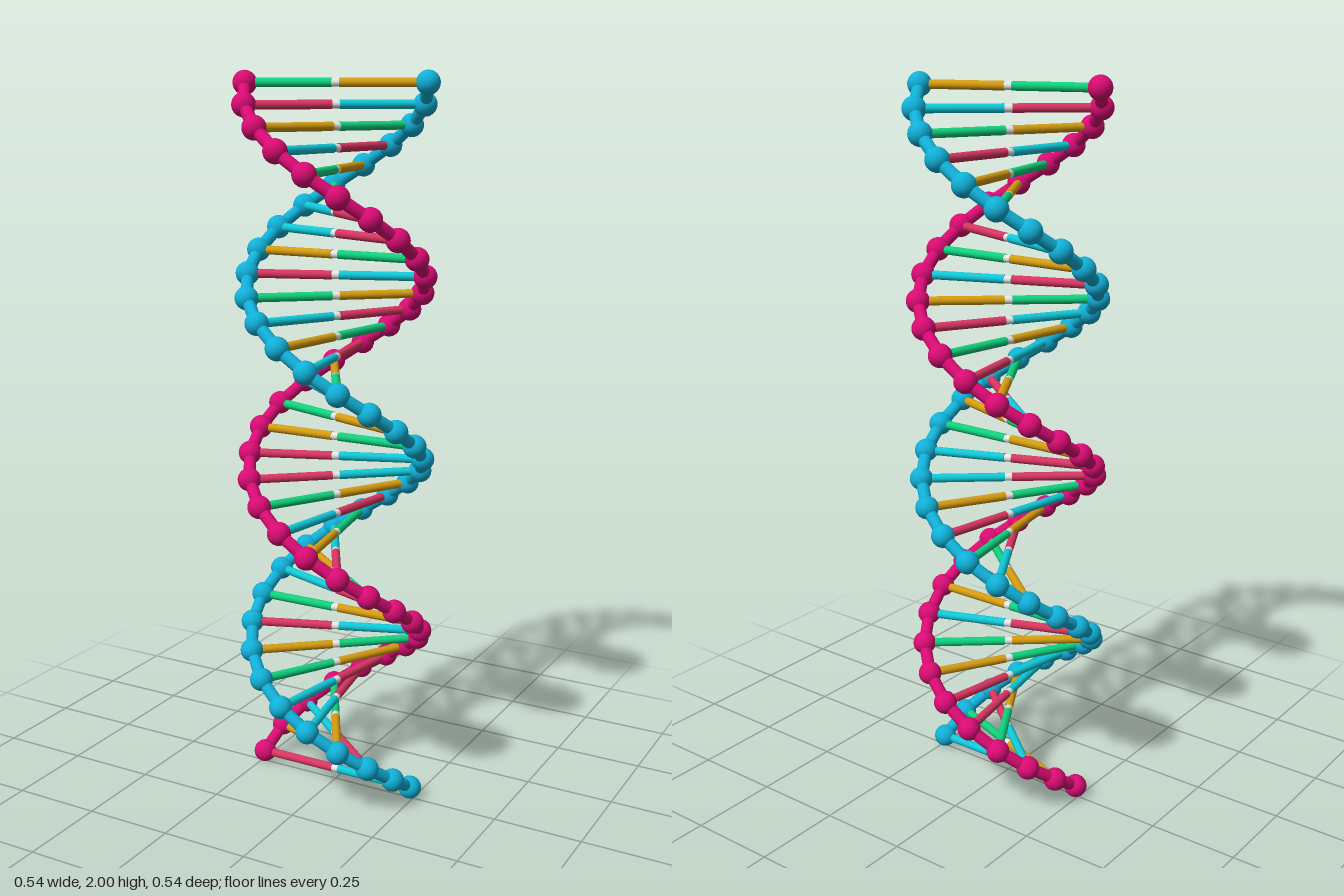
import * as THREE from 'three';

const mat = (name, color) => {
  const m = new THREE.MeshStandardMaterial({ color });
  m.name = name;
  return m;
};

export function createModel() {
  const model = new THREE.Group();
  model.name = 'doubleHelix';

  const magenta = mat('magenta', 0xd90b73);
  const blue = mat('blue', 0x10b0d8);
  const white = mat('white', 0xe6e6e6);
  const bases = {
    A: mat('red', 0xd83560),
    T: mat('turquoise', 0x10c8d8),
    C: mat('amber', 0xd49b10),
    G: mat('green', 0x0fd07c),
  };
  const partner = { A: 'T', T: 'A', C: 'G', G: 'C' };
  const sequence = 'ACTGAACGTCAG'; // repeats up the first strand

  const COUNT = 36, RADIUS = 0.24, BALL = 0.032, STEP = (2 - 2 * BALL) / (COUNT - 1);
  const TURN = Math.PI / 9, BOND = 0.01;

  const ballGeo = new THREE.SphereGeometry(BALL, 24, 16);
  const up = new THREE.Vector3(0, 1, 0);

  // Point on a strand at rung i, at the given distance from the axis
  const point = (i, phase, r = RADIUS) => {
    const a = i * TURN + phase;
    return new THREE.Vector3(r * Math.cos(a), BALL + i * STEP, r * Math.sin(a));
  };

  // Straight rod between two points
  const rod = (name, from, to, radius, material, parent) => {
    const dir = to.clone().sub(from);
    const mesh = new THREE.Mesh(new THREE.CylinderGeometry(radius, radius, dir.length(), 16), material);
    mesh.name = name;
    mesh.position.copy(from).add(to).multiplyScalar(0.5);
    mesh.quaternion.setFromUnitVectors(up, dir.normalize());
    parent.add(mesh);
  };

  // Two backbones of balls joined by short links
  const strands = [
    { name: 'magentaStrand', phase: Math.PI, material: magenta },
    { name: 'blueStrand', phase: 0, material: blue },
  ];
  for (const { name, phase, material } of strands) {
    const strand = new THREE.Group();
    strand.name = name;
    for (let i = 0; i < COUNT; i++) {
      const ball = new THREE.Mesh(ballGeo, material);
      ball.name = 'backboneBall';
      ball.position.copy(point(i, phase));
      strand.add(ball);
      if (i > 0) rod('backboneLink', point(i - 1, phase), point(i, phase), 0.017, material, strand);
    }
    model.add(strand);
  }

  // Rungs: two coloured halves with a small white bond in the middle
  const rungs = new THREE.Group();
  rungs.name = 'rungs';
  for (let i = 0; i < COUNT; i++) {
    const base = sequence[i % sequence.length];
    rod('rungHalf', point(i, Math.PI, BOND), point(i, Math.PI), 0.012, bases[base], rungs);
    rod('rungHalf', point(i, 0, BOND), point(i, 0), 0.012, bases[partner[base]], rungs);
    rod('centreBond', point(i, Math.PI, BOND), point(i, 0, BOND), 0.0105, white, rungs);
  }
  model.add(rungs);

  return model;
}
